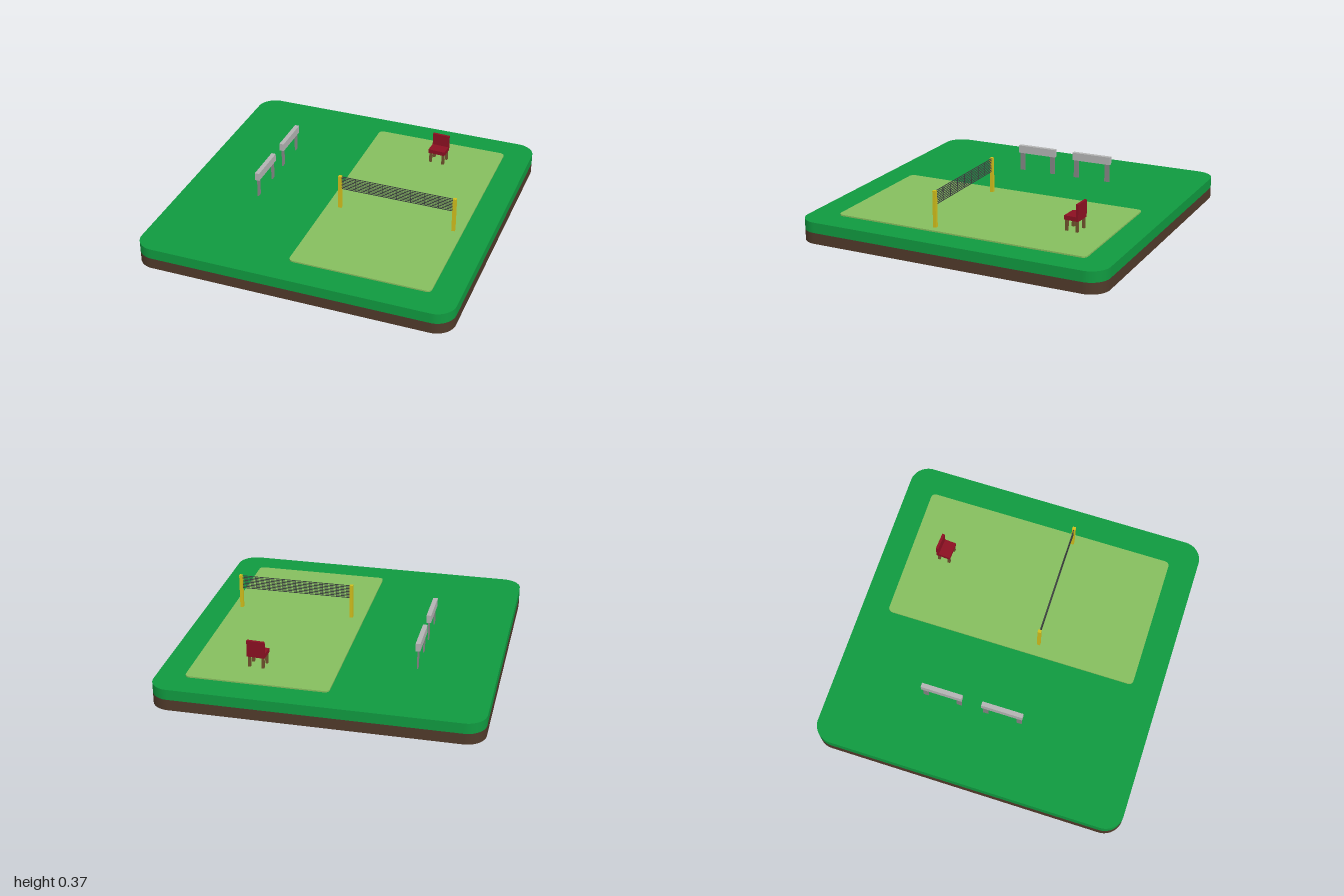
import * as THREE from 'three';

const mat = (color) => new THREE.MeshStandardMaterial({ color });
const grass = mat(0x109a40), soil = mat(0x503a2a), turf = mat(0x86be5e), yellow = mat(0xd2bf1c);
const steel = mat(0xb4b4b4), darkSteel = mat(0x858585), red = mat(0x8c1022), wood = mat(0x70512c), cord = mat(0x3a3f3c);

// Box given by its centre in x and z, and its bottom and top in y
function box(parent, name, material, x, z, y0, y1, w, d) {
  const mesh = new THREE.Mesh(new THREE.BoxGeometry(w, y1 - y0, d), material);
  mesh.position.set(x, (y0 + y1) / 2, z);
  mesh.name = name;
  parent.add(mesh);
  return mesh;
}

// Flat slab with rounded corners
function slab(parent, name, material, x, z, y0, y1, w, d, r) {
  const a = w / 2, b = d / 2, s = new THREE.Shape();
  s.absarc(a - r, b - r, r, 0, Math.PI / 2);
  s.absarc(-a + r, b - r, r, Math.PI / 2, Math.PI);
  s.absarc(-a + r, -b + r, r, Math.PI, Math.PI * 1.5);
  s.absarc(a - r, -b + r, r, Math.PI * 1.5, Math.PI * 2);
  const geo = new THREE.ExtrudeGeometry(s, { depth: y1 - y0, bevelEnabled: false, curveSegments: 12 });
  geo.rotateX(-Math.PI / 2);
  const mesh = new THREE.Mesh(geo, material);
  mesh.position.set(x, y0, z);
  mesh.name = name;
  parent.add(mesh);
}

function group(parent, name) {
  const g = new THREE.Group();
  g.name = name;
  parent.add(g);
  return g;
}

export function createModel() {
  const model = new THREE.Group();
  const ground = 0.137, court = 0.146;

  // Ground layers and court
  slab(model, 'soil', soil, 0, 0, 0, 0.07, 2, 2, 0.12);
  slab(model, 'grass', grass, 0, 0, 0.07, ground, 2, 2, 0.12);
  slab(model, 'court', turf, 0.382, -0.005, ground, court, 0.885, 1.645, 0.03);

  // Net between two posts
  const net = group(model, 'net');
  const x0 = 0.024, x1 = 0.765, nz = 0.17, mid = (x0 + x1) / 2;
  for (const x of [x0, x1]) box(net, 'netPost', yellow, x, nz, court, 0.374, 0.021, 0.021);
  const rows = 9, bottom = 0.284, top = 0.369;
  for (let i = 0; i < rows; i++) {
    const y = bottom + (top - bottom) * i / (rows - 1);
    box(net, 'netCord', cord, mid, nz, y - 0.002, y + 0.002, x1 - x0, 0.004);
  }
  for (let i = 0; i < 7; i++)
    box(net, 'netUpright', cord, mid + (i - 3) * 0.09, nz, bottom, top, 0.003, 0.003);

  // Two hurdles
  for (const z of [0.1, -0.295]) {
    const hurdle = group(model, 'hurdle');
    hurdle.position.set(-0.516, 0, z);
    box(hurdle, 'crossbar', steel, 0, 0, 0.258, 0.309, 0.029, 0.266);
    for (const s of [-1, 1]) box(hurdle, 'hurdleLeg', darkSteel, 0, s * 0.11, ground, 0.262, 0.007, 0.034);
  }

  // Chair, turned slightly
  const chair = group(model, 'chair');
  chair.position.set(0.433, 0, -0.592);
  chair.rotation.y = -0.06;
  box(chair, 'seat', red, 0, 0, 0.215, 0.242, 0.112, 0.092);
  box(chair, 'backrest', red, 0, -0.038, 0.242, 0.322, 0.112, 0.016);
  for (const x of [-0.043, 0.043])
    for (const z of [-0.034, 0.034]) box(chair, 'chairLeg', wood, x, z, court, 0.215, 0.016, 0.016);

  return model;
}
